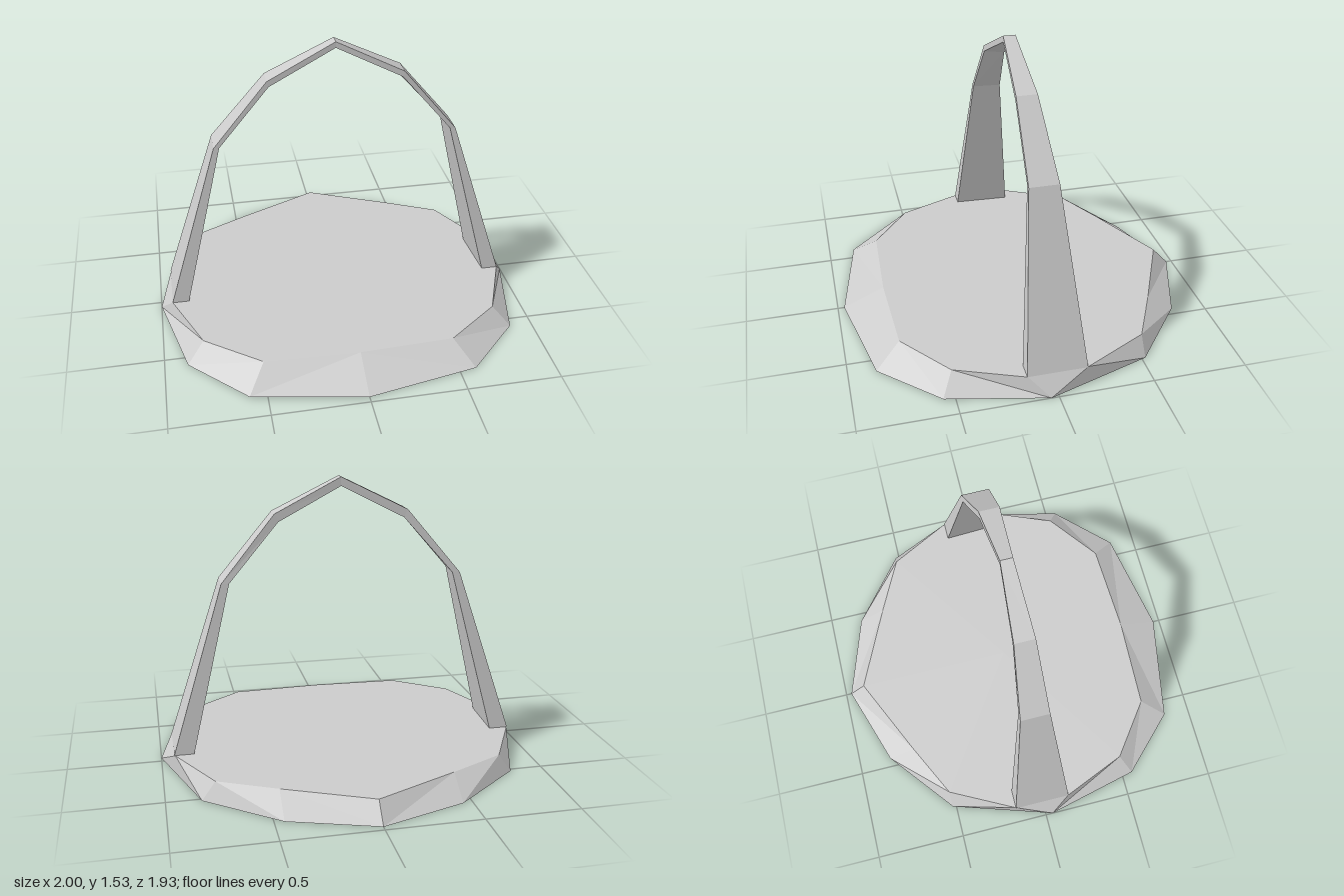
import * as THREE from 'three';

const material = new THREE.MeshStandardMaterial({ color: 0xcccccc, flatShading: true });

// Skins a list of equal-length rings (clockwise seen along -path) and caps both ends.
function loft(name, rings) {
  const pos = [];
  const tri = (a, b, c) => pos.push(...a, ...b, ...c);
  const n = rings[0].length;
  for (let r = 0; r < rings.length - 1; r++) {
    for (let i = 0; i < n; i++) {
      const j = (i + 1) % n;
      const a = rings[r][i], b = rings[r][j], c = rings[r + 1][i], d = rings[r + 1][j];
      // mirrored diagonals on the two halves
      if (i < n / 2) { tri(a, d, b); tri(a, c, d); }
      else { tri(a, c, b); tri(c, d, b); }
    }
  }
  const centre = (ring) => [0, 1, 2].map((k) => ring.reduce((s, p) => s + p[k], 0) / n);
  const first = rings[0], last = rings[rings.length - 1];
  const c0 = centre(first), c1 = centre(last);
  for (let i = 0; i < n; i++) {
    const j = (i + 1) % n;
    tri(c0, first[i], first[j]);
    tri(c1, last[j], last[i]);
  }
  const geo = new THREE.BufferGeometry();
  geo.setAttribute('position', new THREE.Float32BufferAttribute(pos, 3));
  geo.computeVertexNormals();
  const mesh = new THREE.Mesh(geo, material);
  mesh.name = name;
  return mesh;
}

// Full outline at height y from its +x half, listed back to front.
function outline(half, y) {
  const left = half.slice(1, -1).reverse().map(([x, z]) => [-x, z]);
  return [...half, ...left].map(([x, z]) => [x, y, z]);
}

export function createModel() {
  const group = new THREE.Group();

  // Faceted base plate with bevelled rim
  const bottom = [[0, -0.97], [0.45, -0.82], [0.82, -0.52], [1, 0.04], [1, 0.04],
    [0.88, 0.56], [0.59, 0.855], [0, 0.965]];
  const top = [[0, -0.88], [0.45, -0.67], [0.75, -0.52], [0.93, -0.17], [0.935, 0.145],
    [0.79, 0.5], [0.5, 0.72], [0, 0.74]];
  group.add(loft('base', [outline(bottom, 0), outline(top, 0.1)]));

  // Tapering arch: outer x, y | inner front x, y | inner back x, y | back z, front z
  const stations = [
    [0.935, 0.1, 0.845, 0.1, 0.83, 0.1, -0.167, 0.147],
    [0.65, 1.0, 0.62, 1.0, 0.608, 1.0, -0.083, 0.073],
    [0.36, 1.35, 0.35, 1.32, 0.34, 1.307, -0.047, 0.063],
    [0, 1.53, 0, 1.497, 0, 1.482, -0.025, 0.04],
  ];
  const section = (s, side) => {
    const [ox, oy, fx, fy, bx, by, back, front] = s;
    return [[side * ox, oy, back], [side * ox, oy, front],
      [side * fx, fy, front], [side * bx, by, back]];
  };
  const rings = [
    ...stations.map((s) => section(s, 1)),
    ...stations.slice(0, -1).reverse().map((s) => section(s, -1)),
  ];
  group.add(loft('archHandle', rings));

  return group;
}
